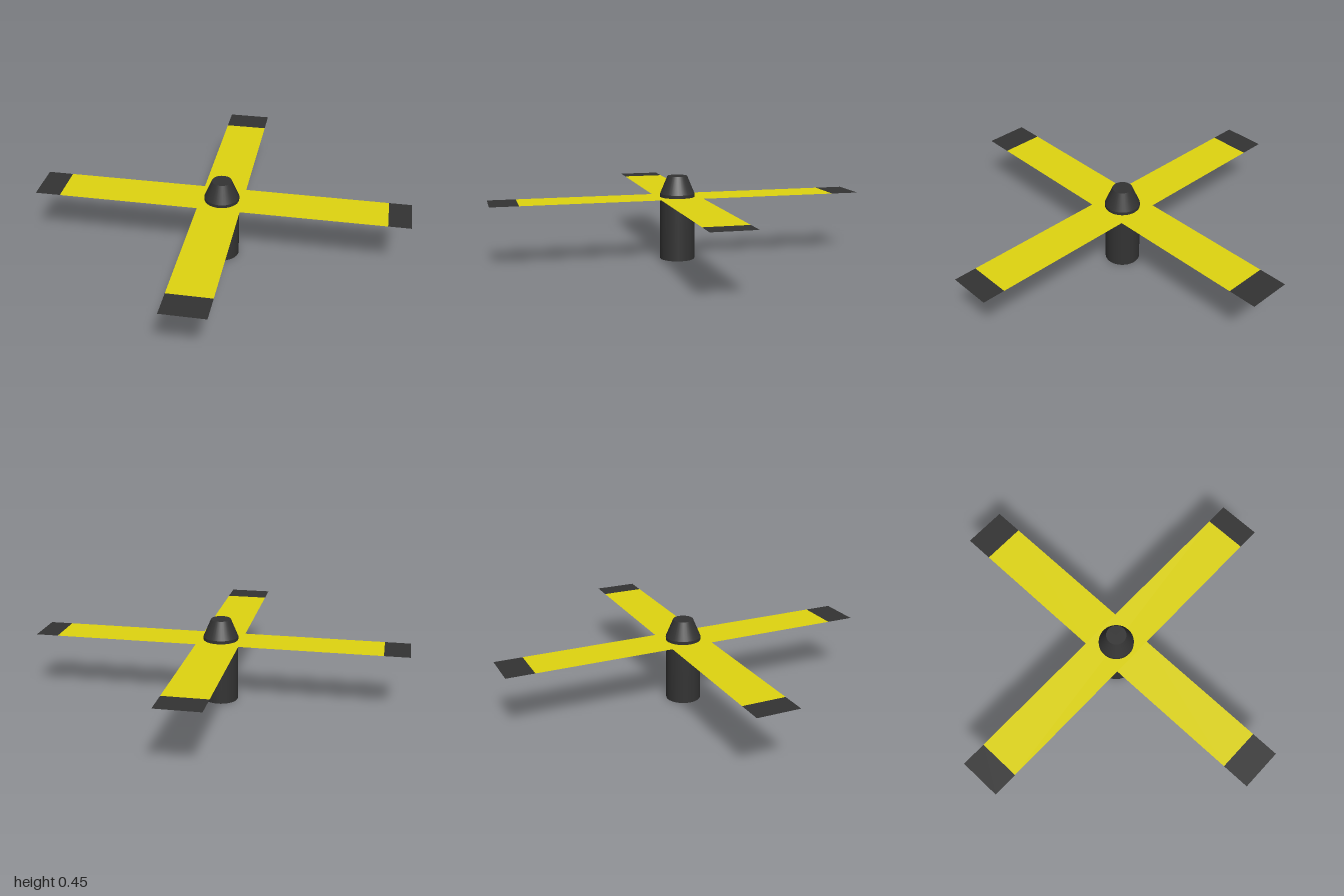
import * as THREE from 'three';

export function createModel() {
  const model = new THREE.Group();
  model.name = 'rotor';

  const dark = new THREE.MeshStandardMaterial({ color: 0x333333 });
  const darkSheet = new THREE.MeshStandardMaterial({ color: 0x333333, side: THREE.DoubleSide });
  const yellowSheet = new THREE.MeshStandardMaterial({ color: 0xded410, side: THREE.DoubleSide });

  const bladeY = 0.338;
  const halfWidth = 0.114;

  const add = (name, geometry, material, x, y, z) => {
    const mesh = new THREE.Mesh(geometry, material);
    mesh.name = name;
    mesh.position.set(x, y, z);
    model.add(mesh);
  };

  // Flat horizontal sheet between two corners
  const sheet = (name, material, x0, x1, z0, z1) => {
    const geometry = new THREE.PlaneGeometry(x1 - x0, z1 - z0).rotateX(-Math.PI / 2);
    add(name, geometry, material, (x0 + x1) / 2, bladeY, (z0 + z1) / 2);
  };

  // Hub: straight shaft with a tapered cap
  const shaftTop = 0.355, height = 0.45, radius = 0.093;
  add('shaft', new THREE.CylinderGeometry(radius, radius, shaftTop, 32), dark, 0, shaftTop / 2, 0);
  add('cap', new THREE.CylinderGeometry(0.053, radius, height - shaftTop, 32), dark,
    0, (shaftTop + height) / 2, 0);

  // Side blades run through the hub, with dark tips
  sheet('sideBlades', yellowSheet, -0.865, 0.88, -halfWidth, halfWidth);
  sheet('rightTip', darkSheet, -1, -0.865, -halfWidth, halfWidth);
  sheet('leftTip', darkSheet, 0.88, 1, -halfWidth, halfWidth);

  // Front and back blades butt against the side blades
  const tipStart = 0.85;
  for (const [label, s] of [['front', 1], ['back', -1]]) {
    const span = (a, b) => (s > 0 ? [a, b] : [-b, -a]);
    sheet(label + 'Blade', yellowSheet, -halfWidth, halfWidth, ...span(halfWidth, tipStart));
    sheet(label + 'Tip', darkSheet, -halfWidth, halfWidth, ...span(tipStart, 1));
  }

  return model;
}
